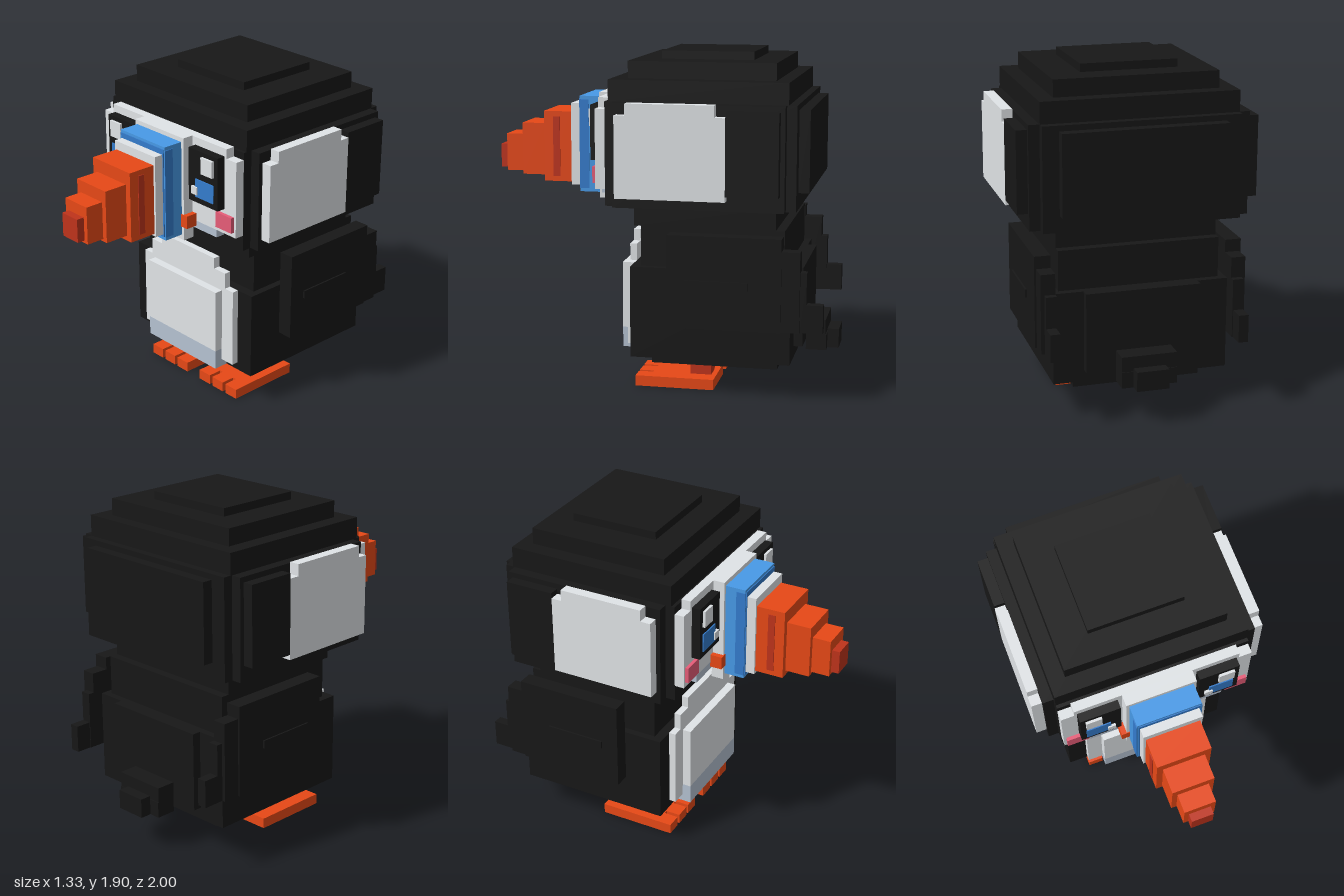
import * as THREE from 'three';

const mat = (name, color) => {
  const m = new THREE.MeshStandardMaterial({ color });
  m.name = name;
  return m;
};

export function createModel() {
  const black = mat('black feathers', 0x171717);
  const white = mat('white feathers', 0xe6eaed);
  const shade = mat('blue grey feathers', 0xb5c2d2);
  const orange = mat('orange', 0xf44d18);
  const red = mat('dark red', 0xbf331b);
  const blue = mat('blue', 0x347ccd);
  const sky = mat('light blue', 0x4da5f7);
  const pink = mat('pink', 0xf4627f);

  const model = new THREE.Group();
  model.name = 'bird';
  const part = (name) => {
    const g = new THREE.Group();
    g.name = name;
    model.add(g);
    return g;
  };
  // Box given by its limits on each axis
  const box = (g, name, m, x0, x1, y0, y1, z0, z1) => {
    const mesh = new THREE.Mesh(new THREE.BoxGeometry(x1 - x0, y1 - y0, z1 - z0), m);
    mesh.position.set((x0 + x1) / 2, (y0 + y1) / 2, (z0 + z1) / 2);
    mesh.name = name;
    g.add(mesh);
  };
  // Box centred on x = 0
  const mid = (g, name, m, w, ...r) => box(g, name, m, -w, w, ...r);
  // Mirrored pair of boxes
  const pair = (g, name, m, x0, x1, ...r) => {
    box(g, name + 'Left', m, x0, x1, ...r);
    box(g, name + 'Right', m, -x1, -x0, ...r);
  };

  // Body: stepped slabs
  const body = part('body');
  mid(body, 'bodyBase', black, 0.36, 0.14, 0.21, -0.685, 0.03);
  mid(body, 'bodyMain', black, 0.49, 0.205, 0.72, -0.77, 0.125);
  mid(body, 'bodyUpper', black, 0.45, 0.72, 0.945, -0.73, 0.07);
  mid(body, 'neck', black, 0.45, 0.945, 1.07, -0.68, 0.11);
  mid(body, 'backPad', black, 0.32, 0.27, 0.72, -0.82, -0.77);

  // Belly patch
  const belly = part('belly');
  mid(belly, 'bellyLower', white, 0.38, 0.25, 0.72, 0.125, 0.165);
  mid(belly, 'bellyMiddle', white, 0.315, 0.72, 0.815, 0.125, 0.165);
  mid(belly, 'bellyTop', white, 0.225, 0.815, 0.88, 0.125, 0.165);
  mid(belly, 'bellyFront', white, 0.29, 0.32, 0.70, 0.165, 0.215);
  mid(belly, 'bellyShade', shade, 0.29, 0.205, 0.32, 0.125, 0.215);

  // Wings sweeping to the back
  const wings = part('wings');
  pair(wings, 'wing', black, 0.49, 0.58, 0.41, 0.925, -0.73, -0.10);
  pair(wings, 'wingRear', black, 0.49, 0.57, 0.41, 0.855, -0.83, -0.73);
  pair(wings, 'wingEdge', black, 0.49, 0.55, 0.41, 0.74, -0.865, -0.83);
  pair(wings, 'wingTip', black, 0.495, 0.55, 0.41, 0.565, -0.955, -0.865);
  pair(wings, 'wingFeather', black, 0.58, 0.59, 0.635, 0.68, -0.55, -0.2);

  // Tail
  const tail = part('tail');
  mid(tail, 'tailBase', black, 0.155, 0.28, 0.385, -0.93, -0.77);
  mid(tail, 'tailMiddle', black, 0.155, 0.21, 0.30, -0.935, -0.82);
  mid(tail, 'tailTip', black, 0.09, 0.21, 0.32, -1.0, -0.935);

  // Head: stepped slabs
  const head = part('head');
  mid(head, 'headWide', black, 0.605, 1.07, 1.64, -0.745, 0.195);
  mid(head, 'headDeep', black, 0.545, 1.068, 1.641, -0.80, 0.25);
  mid(head, 'headBack', black, 0.455, 1.16, 1.61, -0.86, -0.80);
  mid(head, 'crownLower', black, 0.545, 1.64, 1.76, -0.755, 0.23);
  mid(head, 'crownMiddle', black, 0.455, 1.76, 1.855, -0.675, 0.14);
  mid(head, 'crownTop', black, 0.27, 1.855, 1.90, -0.525, -0.01);
  pair(head, 'sidePad', black, 0.605, 0.665, 1.16, 1.61, -0.72, -0.435);
  pair(head, 'sidePatch', white, 0.605, 0.665, 1.13, 1.58, -0.435, 0.17);
  pair(head, 'sidePatchTop', white, 0.605, 0.665, 1.58, 1.645, -0.375, 0.11);

  // Face mask, eyes and blush
  const face = part('face');
  mid(face, 'mask', white, 0.545, 1.16, 1.60, 0.25, 0.305);
  mid(face, 'maskTop', white, 0.47, 1.60, 1.655, 0.25, 0.305);
  mid(face, 'maskShade', shade, 0.395, 1.115, 1.16, 0.25, 0.305);
  mid(face, 'beakPlate', white, 0.2, 1.05, 1.655, 0.30, 0.37);
  pair(face, 'eye', black, 0.225, 0.455, 1.305, 1.61, 0.305, 0.355);
  pair(face, 'iris', blue, 0.285, 0.425, 1.34, 1.445, 0.355, 0.362);
  pair(face, 'bigHighlight', white, 0.335, 0.425, 1.49, 1.585, 0.355, 0.37);
  pair(face, 'smallHighlight', white, 0.26, 0.305, 1.355, 1.40, 0.355, 0.37);
  pair(face, 'blush', pink, 0.405, 0.53, 1.19, 1.28, 0.305, 0.325);
  pair(face, 'mouthCorner', orange, 0.18, 0.23, 1.13, 1.205, 0.305, 0.375);

  // Beak: tapering blocks [name, colour, half width, y0, y1, z0, z1]
  const beak = part('beak');
  [
    ['beakBlue', sky, 0.183, 1.08, 1.63, 0.37, 0.488],
    ['beakDarkFront', blue, 0.175, 1.10, 1.615, 0.488, 0.493],
    ['beakBand', white, 0.168, 1.115, 1.585, 0.488, 0.545],
    ['beakBase', orange, 0.155, 1.13, 1.535, 0.545, 0.71],
    ['beakMiddle', orange, 0.12, 1.16, 1.46, 0.71, 0.85],
    ['beakFront', orange, 0.09, 1.175, 1.39, 0.85, 0.955],
    ['beakTip', red, 0.063, 1.19, 1.325, 0.955, 1.0],
  ].forEach((b) => mid(beak, ...b));
  pair(beak, 'beakBlueStripe', blue, 0.183, 0.187, 1.10, 1.61, 0.435, 0.49);
  pair(beak, 'beakRedStripe', red, 0.155, 0.16, 1.16, 1.505, 0.615, 0.655);

  // Legs and three-toed feet
  const feet = part('feet');
  pair(feet, 'leg', red, 0.155, 0.27, 0.06, 0.145, -0.295, -0.175);
  pair(feet, 'foot', orange, 0.055, 0.37, 0, 0.06, -0.325, 0.04);
  for (let i = 0; i < 3; i++) {
    const x = 0.055 + i * 0.1125;
    pair(feet, 'toe' + (i + 1), orange, x, x + 0.09, 0, 0.06, 0.04, 0.125);
  }
  return model;
}
